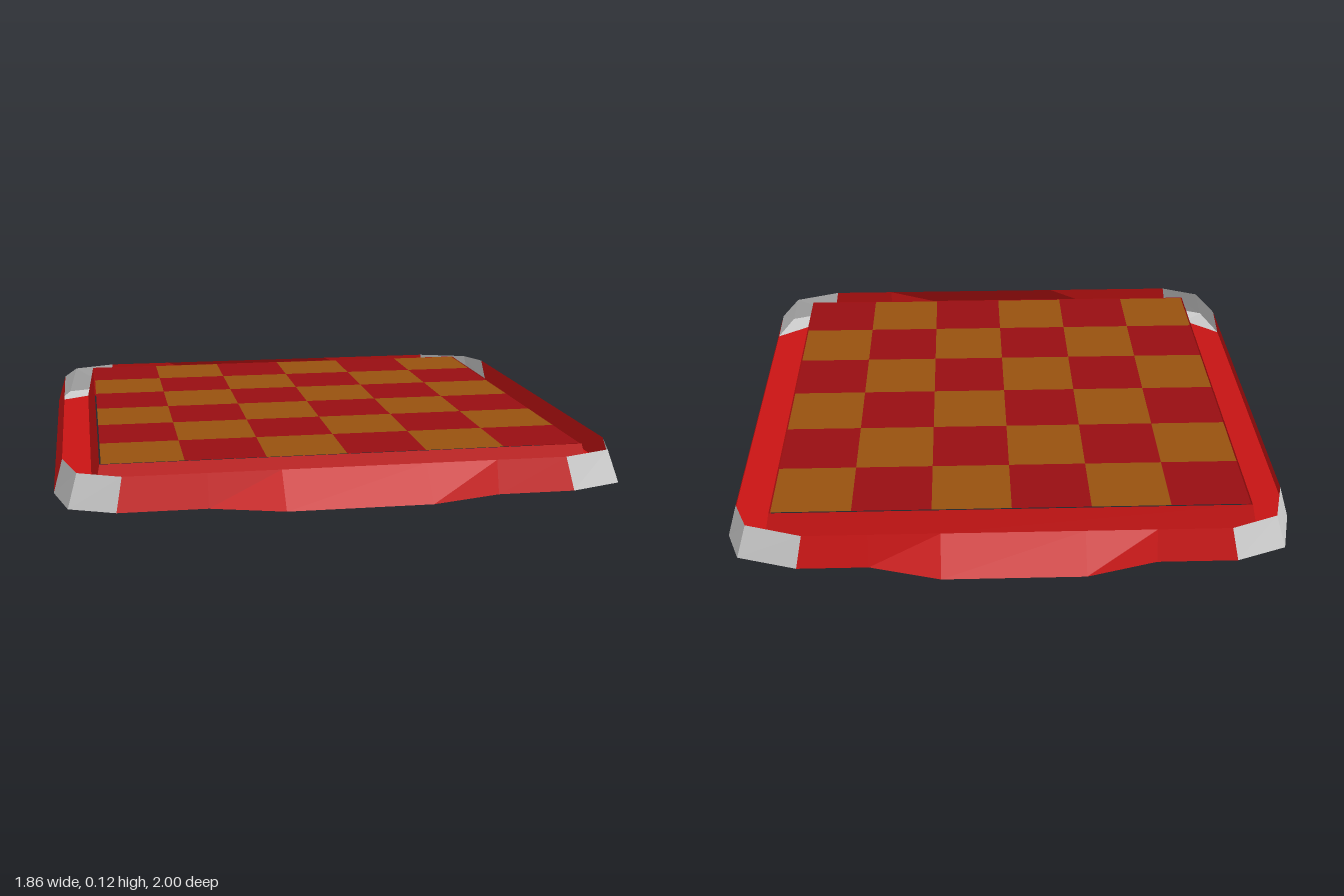
import * as THREE from 'three';
import { mergeGeometries } from 'three/addons/utils/BufferGeometryUtils.js';

const paint = (color) =>
  new THREE.MeshStandardMaterial({ color, flatShading: true, side: THREE.DoubleSide });

const LOW = 0.01, RIM = 0.115, TOP = 0.125; // wall foot, wall rim, board surface
const INNER = 0.81, BOARD = 0.78, SKIRT_TOP = 0.785;

// Strip of quads between two rows of points of equal length.
function strip(name, rowA, rowB, material) {
  const position = [];
  for (let i = 0; i < rowA.length - 1; i++) {
    for (const p of [rowA[i], rowA[i + 1], rowB[i + 1], rowA[i], rowB[i + 1], rowB[i]]) position.push(...p);
  }
  const geometry = new THREE.BufferGeometry();
  geometry.setAttribute('position', new THREE.Float32BufferAttribute(position, 3));
  geometry.computeVertexNormals();
  const mesh = new THREE.Mesh(geometry, material);
  mesh.name = name;
  return mesh;
}

export function createModel() {
  const group = new THREE.Group();
  group.name = 'checkeredTray';
  const red = paint(0xc81414);
  const grey = paint(0xcccccc);

  // Corners in order around the tray: where the caps end along x and along z.
  const corners = [
    { name: 'frontLeft', sx: 1, sz: 1, cx: 0.71, cz: 0.70 },
    { name: 'backLeft', sx: 1, sz: -1, cx: 0.69, cz: 0.74 },
    { name: 'backRight', sx: -1, sz: -1, cx: 0.72, cz: 0.69 },
    { name: 'frontRight', sx: -1, sz: 1, cx: 0.74, cz: 0.68 },
  ];

  // Corner caps: three-point wall with a small floor reaching the inner corner.
  corners.forEach((c, i) => {
    const at = (x, y, z) => [c.sx * x, y, c.sz * z];
    const foot = [at(c.cx, LOW, 0.93), at(0.885, LOW, 0.865), at(0.93, LOW, c.cz)];
    const rim = [at(c.cx - 0.02, RIM, 0.9), at(0.855, RIM, 0.835), at(0.9, RIM, c.cz - 0.02)];
    if (i % 2) { foot.reverse(); rim.reverse(); }
    const inner = foot.map(() => at(INNER, 0, INNER));
    const cap = new THREE.Group();
    cap.name = c.name + 'Cap';
    cap.add(strip('capWall', foot, rim, grey), strip('capFloor', foot, inner, grey));
    group.add(cap);
  });

  // Four sides, each laid out along u as a front side and turned into place.
  const sides = [
    { name: 'front', turn: 0, a: 0.74, b: 0.71, bump: true },
    { name: 'left', turn: 1, a: 0.70, b: 0.74 },
    { name: 'back', turn: 2, a: 0.69, b: 0.72, bump: true },
    { name: 'right', turn: 3, a: 0.69, b: 0.68 },
  ];
  for (const s of sides) {
    const middle = s.bump ? [[-0.46, 0.93], [-0.23, 1], [0.23, 1], [0.46, 0.93]] : [];
    const foot = [[-s.a, LOW, 0.93], ...middle.map(([u, w]) => [u, LOW, w]), [s.b, LOW, 0.93]];
    const rim = [[-s.a + 0.02, RIM, 0.9], ...middle.map(([u]) => [u, RIM, 0.9]), [s.b - 0.02, RIM, 0.9]];
    const inner = [[-INNER, 0, INNER], ...middle.map(([u]) => [u, 0, INNER]), [INNER, 0, INNER]];
    const side = new THREE.Group();
    side.name = s.name + 'Side';
    side.add(
      strip('outerWall', foot, rim, red),
      strip('channelFloor', foot, inner, red),
      strip('boardSkirt',
        [[-INNER, 0, INNER], [INNER, 0, INNER]],
        [[-SKIRT_TOP, TOP, SKIRT_TOP], [SKIRT_TOP, TOP, SKIRT_TOP]], red),
    );
    side.rotation.y = s.turn * Math.PI / 2;
    group.add(side);
  }

  // Checkered board, six by six.
  const cell = BOARD * 2 / 6;
  const tiles = [[], []];
  for (let i = 0; i < 6; i++) {
    for (let j = 0; j < 6; j++) {
      const tile = new THREE.PlaneGeometry(cell, cell).rotateX(-Math.PI / 2);
      tile.translate((i - 2.5) * cell, TOP, (j - 2.5) * cell);
      tiles[(i + j) % 2].push(tile);
    }
  }
  [['redTiles', 0x980d12], ['brownTiles', 0x98520f]].forEach(([name, color], k) => {
    const mesh = new THREE.Mesh(mergeGeometries(tiles[k]), paint(color));
    mesh.name = name;
    group.add(mesh);
  });

  return group;
}
